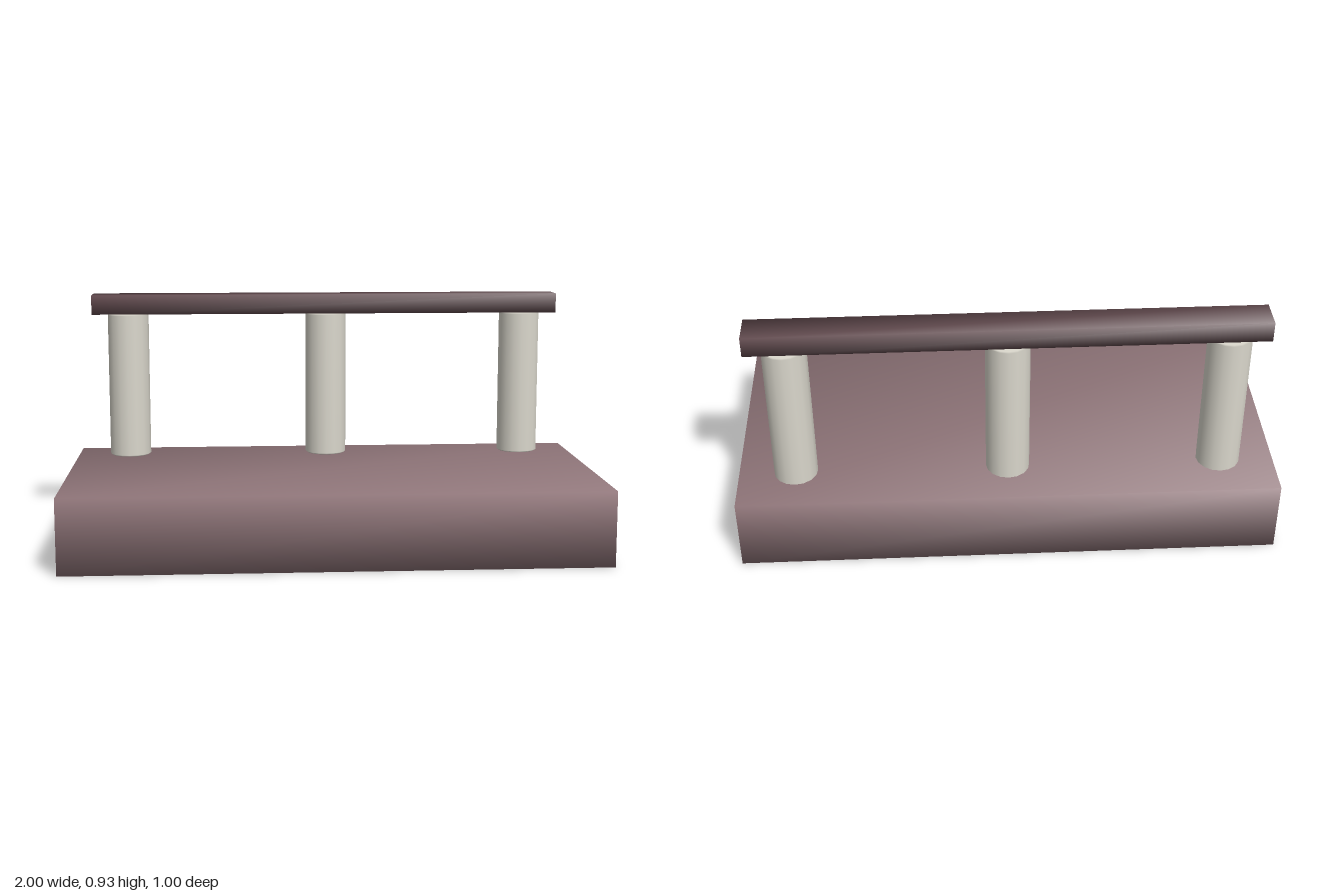
import * as THREE from 'three';
import { mergeVertices } from 'three/addons/utils/BufferGeometryUtils.js';

const plinthColour = new THREE.MeshStandardMaterial({ name: 'dusty mauve', color: 0x8e7478 });
const postColour = new THREE.MeshStandardMaterial({ name: 'pale stone', color: 0xdad7cc });
const railColour = new THREE.MeshStandardMaterial({ name: 'dark plum', color: 0x5e474b });

// Box with shared corners, so its shading runs softly across the edges
function softBox(name, w, h, d, material) {
  const box = new THREE.BoxGeometry(w, h, d);
  box.deleteAttribute('normal');
  box.deleteAttribute('uv');
  const geometry = mergeVertices(box);
  geometry.computeVertexNormals();
  const mesh = new THREE.Mesh(geometry, material);
  mesh.name = name;
  return mesh;
}

export function createModel() {
  const model = new THREE.Group();
  model.name = 'railingOnPlinth';

  // Plinth
  const plinth = softBox('plinth', 2, 0.28, 1, plinthColour);
  plinth.position.y = 0.14;
  model.add(plinth);

  // Round posts with slightly eased ends, standing just clear of the plinth
  const profile = [
    [0, 0.288], [0.075, 0.288], [0.081, 0.293],
    [0.081, 0.852], [0.077, 0.857], [0, 0.857],
  ].map(([r, y]) => new THREE.Vector2(r, y));
  const postGeometry = new THREE.LatheGeometry(profile, 16);
  for (const x of [-0.79, 0, 0.787]) {
    const post = new THREE.Mesh(postGeometry, postColour);
    post.name = 'post';
    post.position.set(x, 0, -0.323);
    model.add(post);
  }

  // Handrail
  const rail = softBox('handrail', 1.855, 0.076, 0.119, railColour);
  rail.position.set(-0.002, 0.895, -0.323);
  model.add(rail);

  return model;
}
